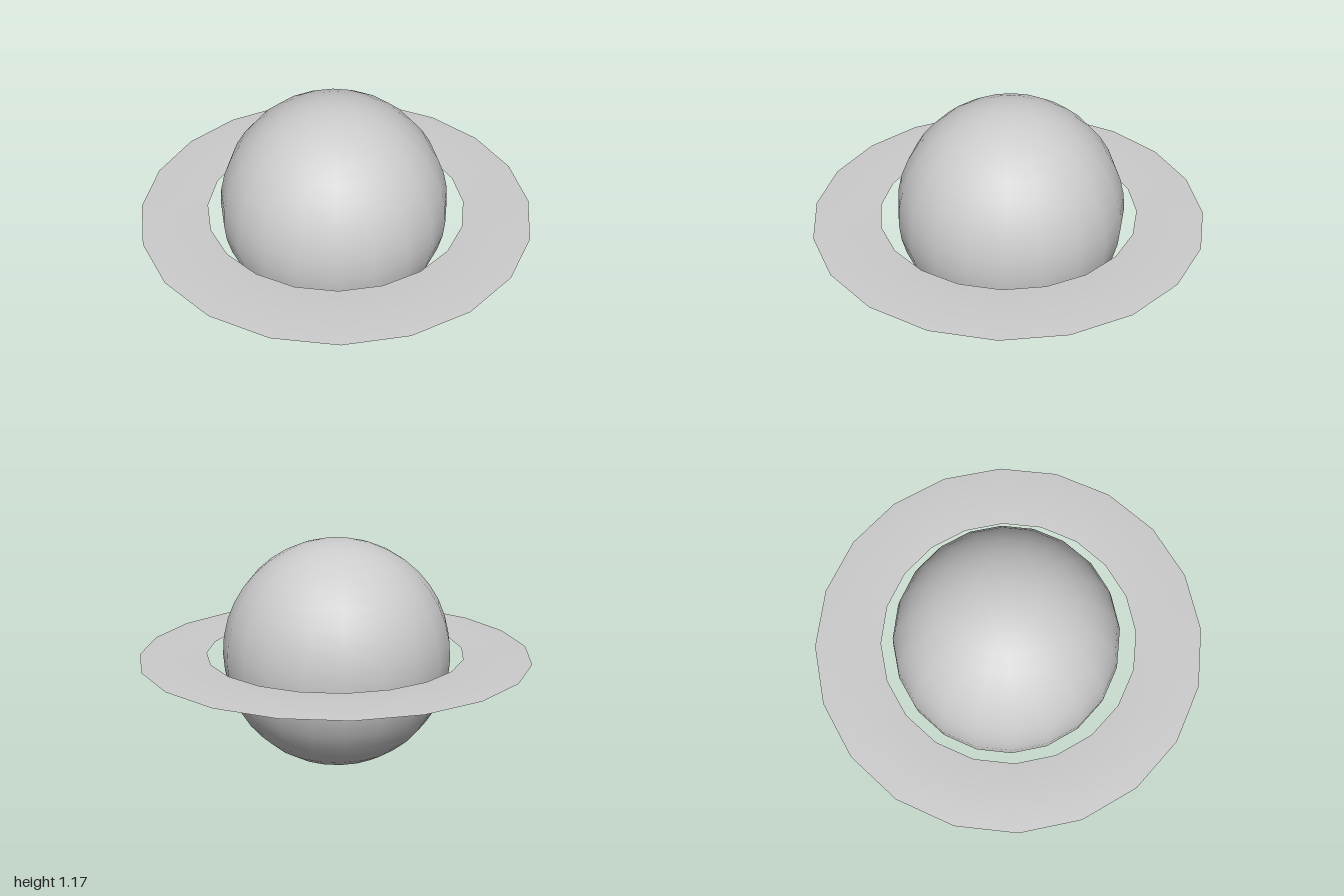
import * as THREE from 'three';

const SIDES = 20;
const RADIUS = 0.585;

export function createModel() {
  const model = new THREE.Group();
  const grey = new THREE.MeshStandardMaterial({ color: 0xcccccc });

  // smooth globe, set very slightly back inside the ring
  const globe = new THREE.Mesh(new THREE.SphereGeometry(RADIUS, SIDES, 20), grey);
  globe.name = 'globe';
  globe.position.set(0, RADIUS, -0.014);
  model.add(globe);

  // thin 20-sided ring: flat underside, top rising gently to a mid crest
  const ring = new THREE.Group();
  ring.name = 'ring';
  const profiles = {
    ringTop: [[1, 0], [0.83, 0.011], [0.66, 0]],
    ringUnderside: [[0.66, 0], [1, 0]],
  };
  for (const [name, points] of Object.entries(profiles)) {
    const profile = points.map(([r, y]) => new THREE.Vector2(r, y)).reverse();
    const mesh = new THREE.Mesh(new THREE.LatheGeometry(profile.reverse(), SIDES), grey);
    mesh.name = name;
    ring.add(mesh);
  }
  ring.position.y = 0.586;
  model.add(ring);

  return model;
}
